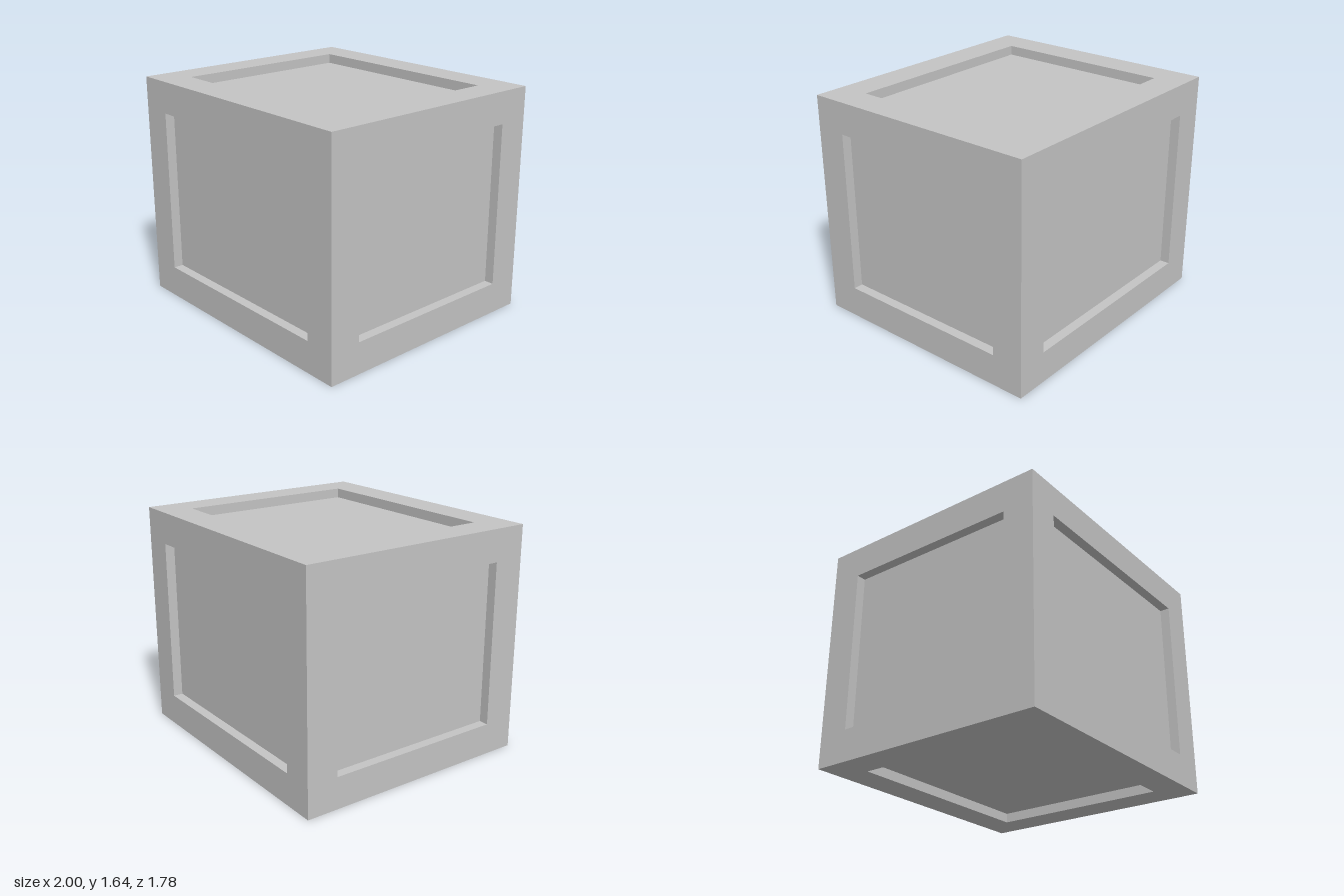
import * as THREE from 'three';

const W = 2, H = 1.645, D = 1.78;   // crate size
const BORDER = 0.23, RECESS = 0.07; // frame width and panel depth

const grey = new THREE.MeshStandardMaterial({ color: 0xc4c4c4 });
grey.name = 'light grey';

// Rectangle corners, counter-clockwise, at a given depth
const ring = (w, h, z) => [[-1, -1], [1, -1], [1, 1], [-1, 1]]
  .map(([x, y]) => [x * w / 2, y * h / 2, z]);

// One side facing +z: flat frame, reveal walls and sunken panel
function sideGeometry(w, h) {
  const iw = w - 2 * BORDER, ih = h - 2 * BORDER;
  const rings = [ring(w, h, 0), ring(iw, ih, 0), ring(iw, ih, -RECESS)];
  const pos = [];
  const quad = (a, b, c, d) => pos.push(...a, ...b, ...c, ...a, ...c, ...d);
  for (let i = 0; i < 2; i++) {
    const [p, q] = [rings[i], rings[i + 1]];
    for (let j = 0; j < 4; j++) {
      const k = (j + 1) % 4;
      quad(p[j], p[k], q[k], q[j]);
    }
  }
  quad(...rings[2]);
  const geo = new THREE.BufferGeometry();
  geo.setAttribute('position', new THREE.Float32BufferAttribute(pos, 3));
  geo.computeVertexNormals();
  return geo;
}

export function createModel() {
  const crate = new THREE.Group();
  crate.name = 'crate';

  // name, width, height, distance from centre, rotation about x and y
  const q = Math.PI / 2;
  const sides = [
    ['frontSide', W, H, D / 2, 0, 0],
    ['backSide', W, H, D / 2, 0, 2 * q],
    ['leftSide', D, H, W / 2, 0, q],
    ['rightSide', D, H, W / 2, 0, -q],
    ['topSide', W, D, H / 2, -q, 0],
    ['bottomSide', W, D, H / 2, q, 0],
  ];
  for (const [name, w, h, distance, rx, ry] of sides) {
    const side = new THREE.Mesh(sideGeometry(w, h), grey);
    side.name = name;
    side.rotation.set(rx, ry, 0);
    side.translateZ(distance);
    side.position.y += H / 2;
    crate.add(side);
  }
  return crate;
}
